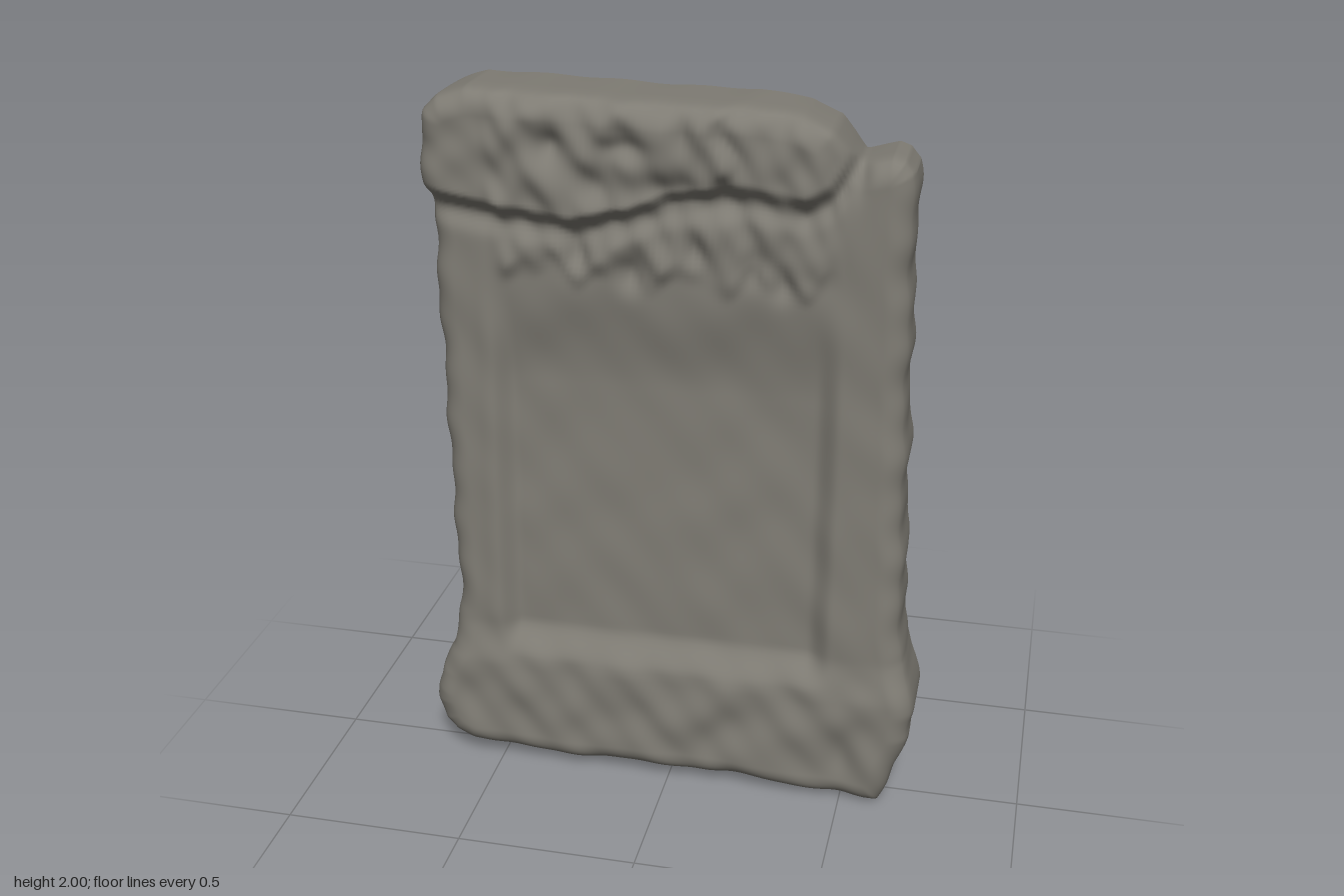
import * as THREE from 'three';

const NX = 130, NY = 180, BACK = -0.13;

// Piecewise-linear lookup in a list of [position, value] pairs
function lookup(pts, t) {
  if (t <= pts[0][0]) return pts[0][1];
  for (let i = 1; i < pts.length; i++) {
    const [a, va] = pts[i - 1], [b, vb] = pts[i];
    if (t <= b) return va + (vb - va) * (t - a) / (b - a);
  }
  return pts[pts.length - 1][1];
}
const lerp = THREE.MathUtils.lerp;
const step = (t, a, b) => THREE.MathUtils.smoothstep(t, a, b);
const bump = (x, y, cx, cy, rx, ry) => Math.exp(-(((x - cx) / rx) ** 2) - ((y - cy) / ry) ** 2);
const rough = (x, y) => (Math.sin(x * 17 + 2 * Math.sin(y * 11)) + Math.sin(y * 23 + 2 * Math.sin(x * 13 + 1))
  + 0.6 * Math.sin(x * 37 + y * 29)) / 2.6;

// Outline of the slab: sides by height, top and bottom by x
const LEFT = [[0.17, -0.70], [0.22, -0.70], [0.28, -0.685], [0.36, -0.64], [0.5, -0.62], [1, -0.635],
  [1.5, -0.645], [1.66, -0.645], [1.71, -0.655], [1.9, -0.66]];
const RIGHT = [[0, 0.61], [0.12, 0.65], [0.22, 0.69], [0.3, 0.697], [0.38, 0.68], [0.46, 0.655], [0.7, 0.64],
  [1.2, 0.625], [1.83, 0.615]];
const TOP = [[-0.65, 1.87], [-0.64, 1.93], [-0.60, 1.97], [-0.52, 1.998], [-0.3, 1.995], [0, 1.985], [0.2, 1.985],
  [0.34, 1.97], [0.42, 1.935], [0.46, 1.89], [0.49, 1.85], [0.53, 1.86], [0.57, 1.87], [0.60, 1.86], [0.62, 1.83]];
const BOTTOM = [[-0.7, 0.17], [-0.68, 0.1], [-0.64, 0.065], [-0.58, 0.04], [-0.3, 0.025], [0, 0.03], [0.2, 0.03],
  [0.4, 0.015], [0.61, 0.0], [0.65, 0.0]];
// Lower edge of the broken cap
const CAP = [[-0.66, 1.71], [-0.5, 1.685], [-0.25, 1.655], [-0.1, 1.69], [0, 1.73], [0.2, 1.765], [0.35, 1.74],
  [0.42, 1.78], [0.47, 1.87], [0.5, 2.05]];

// Height of the carved front face
function relief(x, y) {
  let z = lerp(0.09, 0.068, step(y, 0.4, 1.3)) + 0.003 * rough(x, y);
  // Sunken panel with a sloping upper face
  const px = step(x, -0.49, -0.43) * (1 - step(x, 0.39, 0.46));
  const slope = 1 - step(y, 1.2, 1.5);
  z -= 0.035 * px * slope * step(y, 0.36, 0.46);
  // Thin raised lip left of the panel
  z += 0.006 * bump(x, 0, -0.5, 0, 0.03, 1) * step(y, 0.4, 0.5) * (1 - step(y, 1.4, 1.6));
  // Bulging base
  const base = 1 - step(y, 0.33, 0.46);
  z += base * (0.02 + 0.008 * rough(x * 1.3, y * 1.3));
  z -= base * 0.02 * bump(x, y, 0.5, 0.1, 0.05, 0.12);
  // Chipped ledge above the panel
  const edge = 1.51 + 0.02 * Math.sin(x * 33) + 0.012 * Math.sin(x * 61 + 1);
  const ledge = px * step(y, edge - 0.015, edge + 0.05);
  z += ledge * (0.012 + 0.012 * rough(x * 2, y * 1.6));
  for (const [cx, cy] of [[-0.24, 1.57], [-0.1, 1.53], [0.07, 1.6], [0.22, 1.58], [0.3, 1.54]])
    z -= 0.028 * bump(x, y, cx, cy, 0.03, 0.045);
  // Overhanging cap, thicker on its left part
  const low = lookup(CAP, x);
  const cap = step(y, low - 0.012, low + 0.035);
  const shelf = 1 - step(x + 0.02 * Math.sin(y * 40), 0.12, 0.17);
  z += cap * (0.02 + 0.018 * shelf + 0.004 * rough(x * 1.4, y * 2));
  z -= 0.02 * bump(y, 0, low - 0.03, 0, 0.03, 1) * (1 - step(x, 0.4, 0.5));
  // Broken hollows in the cap
  z -= 0.035 * bump(x, y, 0.02, 1.765, 0.13, 0.045) + 0.03 * bump(x, y, -0.16, 1.77, 0.04, 0.06);
  z -= 0.025 * bump(x, y, -0.3, 1.87, 0.03, 0.04) + 0.02 * bump(x, y, -0.12, 1.87, 0.06, 0.03);
  z -= 0.02 * bump(x, y, 0.04, 1.9, 0.03, 0.06) + 0.015 * bump(x, y, 0.42, 1.8, 0.04, 0.05);
  // Groove between cap and right border
  z -= 0.025 * bump(x, y, 0.48, 1.84, 0.025, 0.06);
  return z;
}

// Distance from a point to the closed outline
function edgeDistance(x, y, ring) {
  let best = Infinity;
  for (let i = 0; i < ring.length; i++) {
    const a = ring[i], b = ring[(i + 1) % ring.length];
    const dx = b.x - a.x, dy = b.y - a.y;
    const t = Math.min(1, Math.max(0, ((x - a.x) * dx + (y - a.y) * dy) / (dx * dx + dy * dy + 1e-12)));
    best = Math.min(best, (x - a.x - t * dx) ** 2 + (y - a.y - t * dy) ** 2);
  }
  return Math.sqrt(best);
}

export function createModel() {
  const stone = new THREE.MeshStandardMaterial({ color: 0x7e7b73 });
  stone.name = 'weathered stone';
  const group = new THREE.Group();
  group.name = 'stoneSlab';

  // Grid of points fitted to the outline, denser near the edges
  const spread = t => t - 0.6 * Math.sin(2 * Math.PI * t) / (2 * Math.PI);
  const pts = [];
  for (let j = 0; j <= NY; j++) for (let i = 0; i <= NX; i++) {
    const u = spread(i / NX), v = spread(j / NY);
    const y = lerp(lookup(BOTTOM, -0.7 + 1.35 * u), lookup(TOP, -0.65 + 1.27 * u), v);
    const wobble = 0.004 * Math.sin(y * 19) + 0.003 * Math.sin(y * 43);
    pts.push(new THREE.Vector2(lerp(lookup(LEFT, y), lookup(RIGHT, y), u) + wobble * (2 * u - 1), y));
  }
  const id = (i, j) => j * (NX + 1) + i;
  const border = [];
  for (let i = 0; i < NX; i++) border.push(id(i, 0));
  for (let j = 0; j < NY; j++) border.push(id(NX, j));
  for (let i = NX; i > 0; i--) border.push(id(i, NY));
  for (let j = NY; j > 0; j--) border.push(id(0, j));
  const ring = border.map(k => pts[k]);

  // Front face, rounded over towards the edge
  const pos = [], index = [];
  for (const p of pts) {
    const r = 0.065, d = Math.min(1, edgeDistance(p.x, p.y, ring) / r);
    pos.push(p.x, p.y, relief(p.x, p.y) - r * (1 - Math.sqrt(1 - (1 - d) ** 2)));
  }
  for (let j = 0; j < NY; j++) for (let i = 0; i < NX; i++) {
    const a = id(i, j), b = id(i + 1, j), c = id(i + 1, j + 1), d = id(i, j + 1);
    index.push(a, b, c, a, c, d);
  }

  // Side walls running back to the flat rear
  const n = border.length, LAYERS = 4, rear = [];
  let above = border;
  for (let l = 1; l <= LAYERS; l++) {
    const t = l / LAYERS, row = [];
    for (const k of border) {
      const { x, y } = pts[k];
      const s = 1 - t * t * (0.006 + 0.005 * Math.sin(x * 31 + y * 27));
      const px = x * s, py = 1 + (y - 1) * (1 - (1 - s) * 0.4);
      row.push(pos.length / 3);
      pos.push(px, py, lerp(pos[k * 3 + 2], BACK, t));
      if (l === LAYERS) rear.push(new THREE.Vector2(-px, py));
    }
    for (let k = 0; k < n; k++) {
      const m = (k + 1) % n;
      index.push(row[k], row[m], above[m], row[k], above[m], above[k]);
    }
    above = row;
  }
  const geo = new THREE.BufferGeometry();
  geo.setAttribute('position', new THREE.Float32BufferAttribute(pos, 3));
  geo.setIndex(index);
  geo.computeVertexNormals();
  const face = new THREE.Mesh(geo, stone);
  face.name = 'carvedFaceAndSides';

  // Flat rear face
  const backGeo = new THREE.ShapeGeometry(new THREE.Shape(rear));
  backGeo.rotateY(Math.PI).translate(0, 0, BACK);
  const back = new THREE.Mesh(backGeo, stone);
  back.name = 'flatBack';

  group.add(face, back);
  return group;
}
